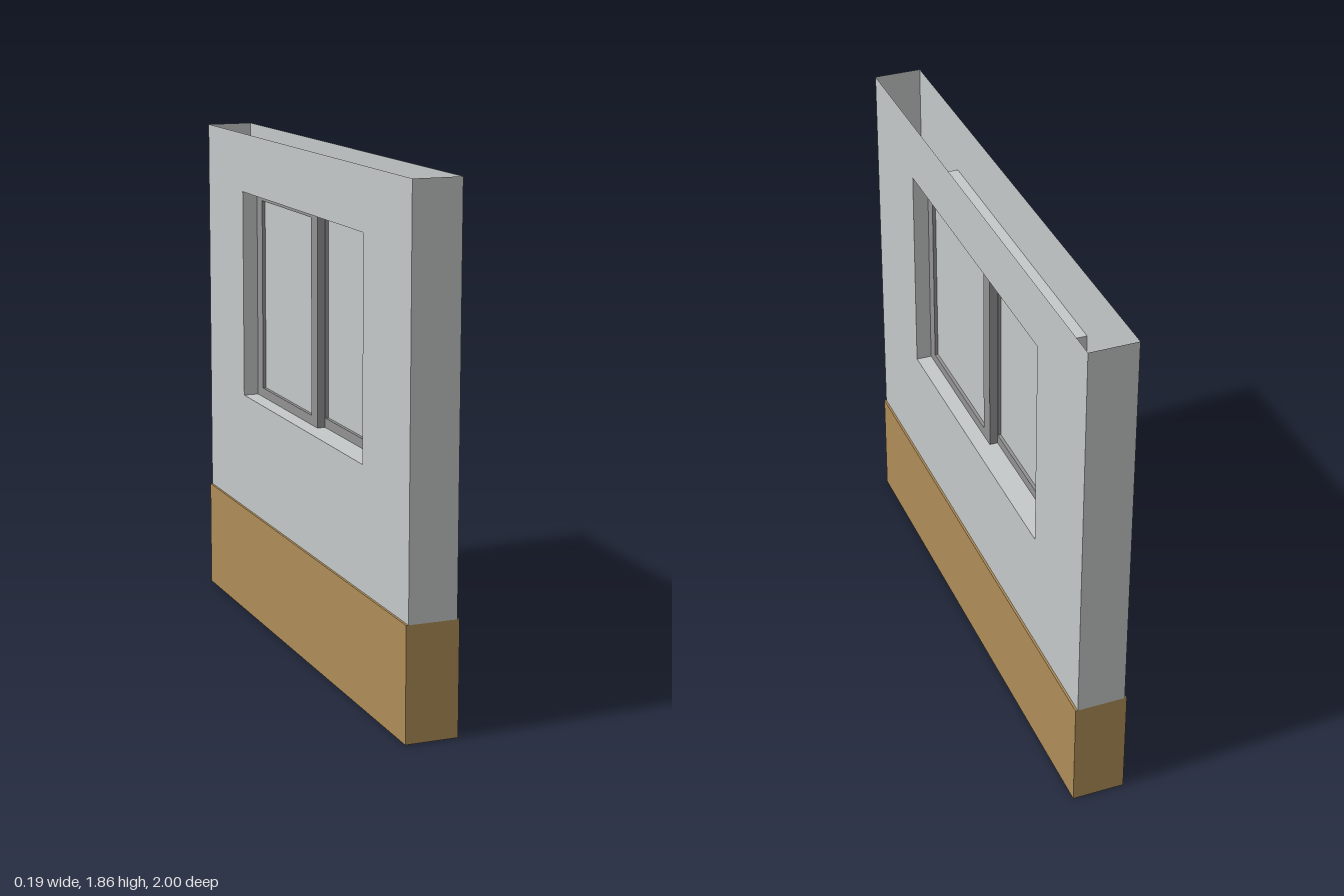
import * as THREE from 'three';

const HALF_LENGTH = 1, WALL_X = 0.087, SKIRT_X = 0.095;
const SKIRT_TOP = 0.41, WALL_TOP = 1.86;
const OPEN = { z: 0.6, bottom: 0.855, top: 1.64 };

function material(name, color, side = THREE.FrontSide) {
  const m = new THREE.MeshStandardMaterial({ color, side });
  m.name = name;
  return m;
}

function rectangle(a, b, bottom, top, Type = THREE.Shape) {
  return new Type([[a, bottom], [b, bottom], [b, top], [a, top]].map(p => new THREE.Vector2(...p)));
}

function add(parent, name, geometry, mat, x = 0, y = 0, z = 0) {
  const mesh = new THREE.Mesh(geometry, mat);
  mesh.name = name;
  mesh.position.set(x, y, z);
  parent.add(mesh);
  return mesh;
}

export function createModel() {
  const model = new THREE.Group();
  model.name = 'wallWithSlidingWindow';
  const wallMat = material('paintedWall', 0xc5c9c9, THREE.DoubleSide);
  const skirtMat = material('woodSkirting', 0xaf8d57, THREE.DoubleSide);
  const frameMat = material('windowFrame', 0x929292);

  // Hollow wall faces with the window opening, end caps and skirting
  for (const s of [-1, 1]) {
    const face = rectangle(-HALF_LENGTH, HALF_LENGTH, SKIRT_TOP, WALL_TOP);
    face.holes.push(rectangle(-OPEN.z, OPEN.z, OPEN.bottom, OPEN.top, THREE.Path));
    add(model, 'wallFace', new THREE.ShapeGeometry(face).rotateY(s * Math.PI / 2), wallMat, s * WALL_X);

    const turn = s > 0 ? 0 : Math.PI;
    const endHeight = WALL_TOP - SKIRT_TOP;
    add(model, 'wallEnd', new THREE.PlaneGeometry(2 * WALL_X, endHeight).rotateY(turn),
      wallMat, 0, SKIRT_TOP + endHeight / 2, s * HALF_LENGTH);
    add(model, 'skirtingBoard', new THREE.BoxGeometry(SKIRT_X - WALL_X, SKIRT_TOP, 2 * HALF_LENGTH),
      skirtMat, s * (SKIRT_X + WALL_X) / 2, SKIRT_TOP / 2, 0);
    add(model, 'skirtingEnd', new THREE.PlaneGeometry(2 * WALL_X, SKIRT_TOP).rotateY(turn),
      skirtMat, 0, SKIRT_TOP / 2, s * HALF_LENGTH);

    // Window reveal: jambs, and sill or head
    add(model, 'revealJamb', new THREE.PlaneGeometry(2 * WALL_X, OPEN.top - OPEN.bottom).rotateY(Math.PI - turn),
      wallMat, 0, (OPEN.top + OPEN.bottom) / 2, s * OPEN.z);
    add(model, s > 0 ? 'revealHead' : 'revealSill',
      new THREE.PlaneGeometry(2 * WALL_X, 2 * OPEN.z).rotateX(s * Math.PI / 2),
      wallMat, 0, s > 0 ? OPEN.top : OPEN.bottom, 0);
  }

  // Two overlapping sliding sashes, each with a pane
  const depth = 0.03, border = 0.06, paneBottom = 0.89, paneTop = 1.61;
  function addSash(name, x, z0, z1) {
    const sash = new THREE.Group();
    sash.name = name;
    const frame = rectangle(z0, z1, paneBottom - border, paneTop + border);
    frame.holes.push(rectangle(z0 + border, z1 - border, paneBottom, paneTop, THREE.Path));
    const geometry = new THREE.ExtrudeGeometry(frame, { depth, bevelEnabled: false });
    add(sash, 'sashFrame', geometry.rotateY(-Math.PI / 2), frameMat, depth / 2);
    add(sash, 'windowPane', new THREE.BoxGeometry(0.006, paneTop - paneBottom, z1 - z0 - 2 * border),
      wallMat, 0, (paneTop + paneBottom) / 2, (z0 + z1) / 2);
    sash.position.x = x;
    model.add(sash);
  }
  addSash('frontSash', depth / 2, -0.025, 0.613);
  addSash('backSash', -depth / 2, -0.603, 0.033);

  return model;
}
